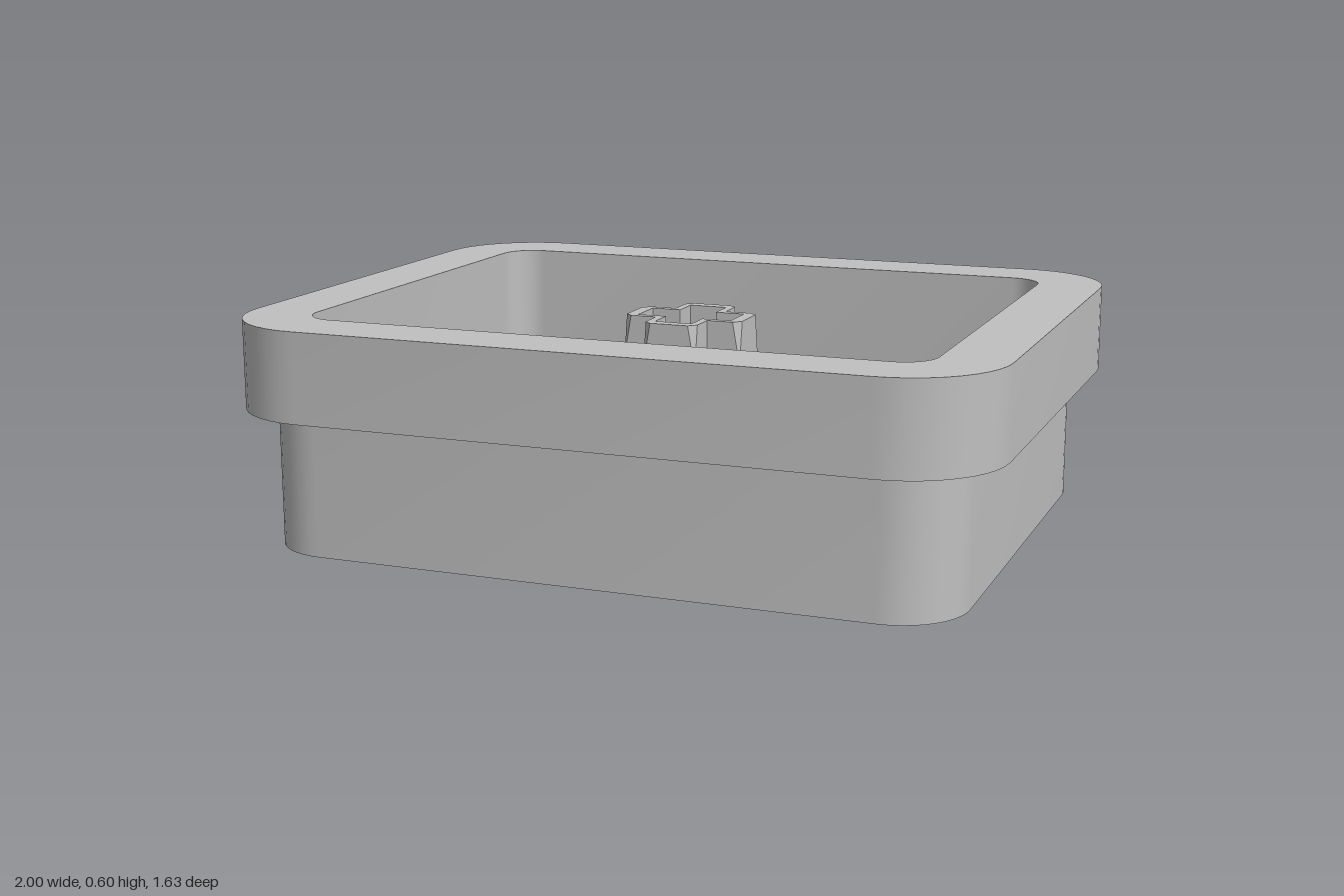
import * as THREE from 'three';
import { toCreasedNormals } from 'three/addons/utils/BufferGeometryUtils.js';

// Rounded rectangle ring at height y, same point count for any size
function roundedRing(y, halfX, halfZ, r) {
  const pts = [], seg = 10;
  const signs = [[1, 1], [-1, 1], [-1, -1], [1, -1]];
  signs.forEach(([sx, sz], k) => {
    for (let i = 0; i <= seg; i++) {
      const a = (k + i / seg) * Math.PI / 2;
      pts.push(new THREE.Vector3(sx * (halfX - r) + r * Math.cos(a), y, sz * (halfZ - r) + r * Math.sin(a)));
    }
  });
  return pts;
}

// Plus-shaped ring at height y, with the arm corners cut by c
function crossRing(y, len, half, c) {
  const pts = [];
  const arm = [[len - c, -half], [len, -half + c], [len, half - c], [len - c, half], [half, half]];
  for (let k = 0; k < 4; k++) {
    for (let [x, z] of arm) {
      for (let n = 0; n < k; n++) [x, z] = [-z, x];
      pts.push(new THREE.Vector3(x, y, z));
    }
  }
  return pts;
}

// Skin consecutive rings, leaving out collapsed triangles
function loft(rings) {
  const pos = [];
  const tri = (a, b, c) => {
    const n = b.clone().sub(a).cross(c.clone().sub(a));
    if (n.length() > 1e-9) for (const p of [a, b, c]) pos.push(p.x, p.y, p.z);
  };
  for (let j = 0; j + 1 < rings.length; j++) {
    const lo = rings[j], hi = rings[j + 1];
    for (let i = 0; i < lo.length; i++) {
      const n = (i + 1) % lo.length;
      tri(lo[i], hi[i], lo[n]);
      tri(lo[n], hi[i], hi[n]);
    }
  }
  const geo = new THREE.BufferGeometry();
  geo.setAttribute('position', new THREE.Float32BufferAttribute(pos, 3));
  return toCreasedNormals(geo, 0.35);
}

export function createModel() {
  const grey = new THREE.MeshStandardMaterial({ color: 0xc0c0c0 });
  grey.name = 'plain grey';
  const model = new THREE.Group();
  model.name = 'openTray';

  // Tray: underside recess, lower body, overhanging rim, open cavity
  const tray = new THREE.Mesh(loft([
    roundedRing(0.03, 0, 0, 0),
    roundedRing(0.03, 0.24, 0.24, 0.04),
    roundedRing(0, 0.24, 0.24, 0.04),
    roundedRing(0, 0.917, 0.735, 0.18),
    roundedRing(0.365, 0.917, 0.735, 0.18),
    roundedRing(0.365, 1, 0.815, 0.26),
    roundedRing(0.6, 1, 0.815, 0.26),
    roundedRing(0.6, 0.825, 0.64, 0.09),
    roundedRing(0.1, 0.825, 0.64, 0.09),
    roundedRing(0.1, 0, 0, 0),
  ]), grey);
  tray.name = 'tray';
  model.add(tray);

  // Hollow cross post with arm corners tapered towards the top
  const post = new THREE.Mesh(loft([
    crossRing(0.1, 0.165, 0.073, 0),
    crossRing(0.44, 0.165, 0.073, 0),
    crossRing(0.555, 0.165, 0.073, 0.02),
    crossRing(0.555, 0.132, 0.052, 0),
    crossRing(0.1, 0.132, 0.052, 0),
  ]), grey);
  post.name = 'crossPost';
  model.add(post);

  return model;
}
